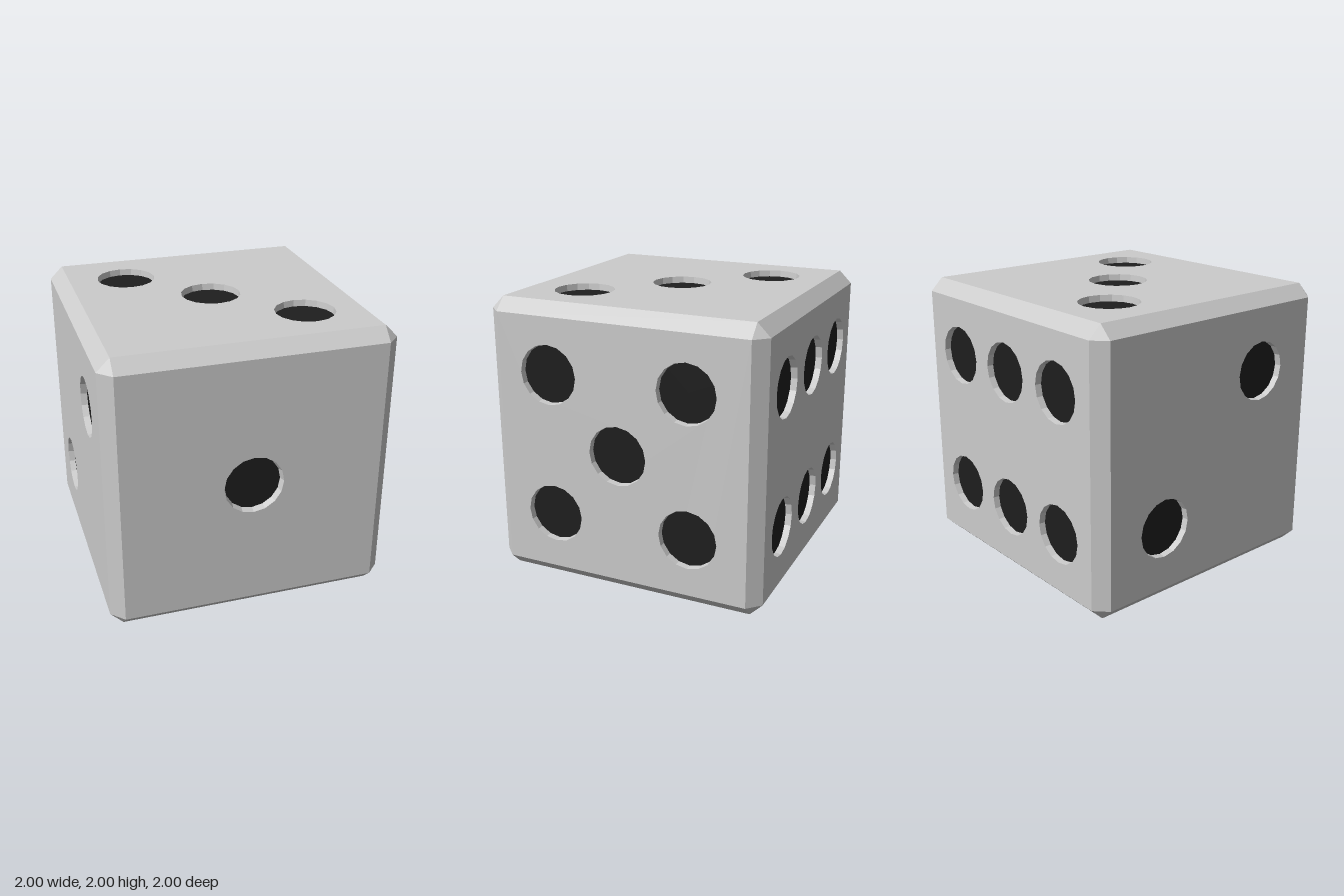
import * as THREE from 'three';
import { mergeGeometries } from 'three/addons/utils/BufferGeometryUtils.js';

const HALF = 1, BEVEL = 0.09, FLAT = HALF - BEVEL;
const PIP_R = 0.21, PIP_DEPTH = 0.045, SIDES = 16;

const grey = new THREE.MeshStandardMaterial({ color: 0xcccccc, flatShading: true });
const wallGrey = new THREE.MeshStandardMaterial({ color: 0xcccccc, flatShading: true, side: THREE.DoubleSide });
const black = new THREE.MeshStandardMaterial({ color: 0x1e1e1e });

function addMesh(parent, name, geometry, material) {
  const mesh = new THREE.Mesh(geometry, material);
  mesh.name = name;
  parent.add(mesh);
  return mesh;
}

// Corner points of one pip, starting at its top
function pipPoints(x, y) {
  return Array.from({ length: SIDES }, (_, i) => {
    const a = Math.PI / 2 - (i / SIDES) * Math.PI * 2;
    return new THREE.Vector2(x + PIP_R * Math.cos(a), y + PIP_R * Math.sin(a));
  });
}

// One flat face, facing +z, with recessed pips
function makeFace({ name, rotation, pips, floorR = 0.206 }) {
  const face = new THREE.Group();
  face.name = name;
  const shape = new THREE.Shape([[-1, -1], [1, -1], [1, 1], [-1, 1]]
    .map(([x, y]) => new THREE.Vector2(x * FLAT, y * FLAT)));
  for (const [x, y] of pips) shape.holes.push(new THREE.Path(pipPoints(x, y)));
  addMesh(face, 'facePanel', new THREE.ShapeGeometry(shape).translate(0, 0, HALF), grey);

  const wall = new THREE.CylinderGeometry(PIP_R, floorR, PIP_DEPTH, SIDES, 1, true).rotateX(Math.PI / 2);
  const floor = new THREE.CircleGeometry(floorR, SIDES);
  for (const [x, y] of pips) {
    addMesh(face, 'pipWall', wall, wallGrey).position.set(x, y, HALF - PIP_DEPTH / 2);
    addMesh(face, 'pipFloor', floor, black).position.set(x, y, HALF - PIP_DEPTH);
  }
  face.rotation.set(...rotation);
  return face;
}

// Twelve bevelled edges: four around each axis
function edgeGeometry() {
  const strips = [];
  for (const axis of ['x', 'y', 'z']) {
    for (let k = 0; k < 4; k++) {
      const strip = new THREE.PlaneGeometry(2 * FLAT, BEVEL * Math.SQRT2)
        .translate(0, 0, (HALF + FLAT) / Math.SQRT2)
        .rotateX(Math.PI / 4 + k * Math.PI / 2);
      if (axis === 'y') strip.rotateZ(Math.PI / 2);
      if (axis === 'z') strip.rotateY(Math.PI / 2);
      strips.push(strip);
    }
  }
  return mergeGeometries(strips);
}

// Eight triangular corners
function cornerGeometry() {
  const pos = [];
  for (const x of [-1, 1]) for (const y of [-1, 1]) for (const z of [-1, 1]) {
    const tri = [[HALF, FLAT, FLAT], [FLAT, HALF, FLAT], [FLAT, FLAT, HALF]];
    if (x * y * z < 0) tri.reverse();
    for (const p of tri) pos.push(p[0] * x, p[1] * y, p[2] * z);
  }
  const g = new THREE.BufferGeometry();
  g.setAttribute('position', new THREE.Float32BufferAttribute(pos, 3));
  g.computeVertexNormals();
  return g;
}

export function createModel() {
  const q = Math.PI / 2;
  const die = new THREE.Group();
  die.name = 'die';

  const faces = [
    { name: 'frontFace', rotation: [0, 0, 0], pips: [[0, 0]], floorR: 0.197 },
    { name: 'leftFace', rotation: [0, q, 0],
      pips: [[-0.53, 0.51], [0.48, 0.51], [-0.02, 0.01], [-0.52, -0.5], [0.49, -0.5]] },
    { name: 'backFace', rotation: [0, 2 * q, 0],
      pips: [-0.56, 0, 0.56].flatMap(x => [[x, 0.5], [x, -0.49]]) },
    { name: 'rightFace', rotation: [0, -q, 0], pips: [[0.44, 0.46], [-0.44, -0.46]] },
    { name: 'topFace', rotation: [-q, 0, 0], pips: [[-0.5, 0.5], [0, 0], [0.51, -0.51]] },
    { name: 'bottomFace', rotation: [q, 0, 0],
      pips: [-0.51, 0.51].flatMap(x => [[x, 0.51], [x, -0.51]]) },
  ];
  for (const f of faces) die.add(makeFace(f));

  addMesh(die, 'bevelledEdges', edgeGeometry(), grey);
  addMesh(die, 'bevelledCorners', cornerGeometry(), grey);

  die.position.y = HALF;
  const model = new THREE.Group();
  model.name = 'model';
  model.add(die);
  return model;
}
